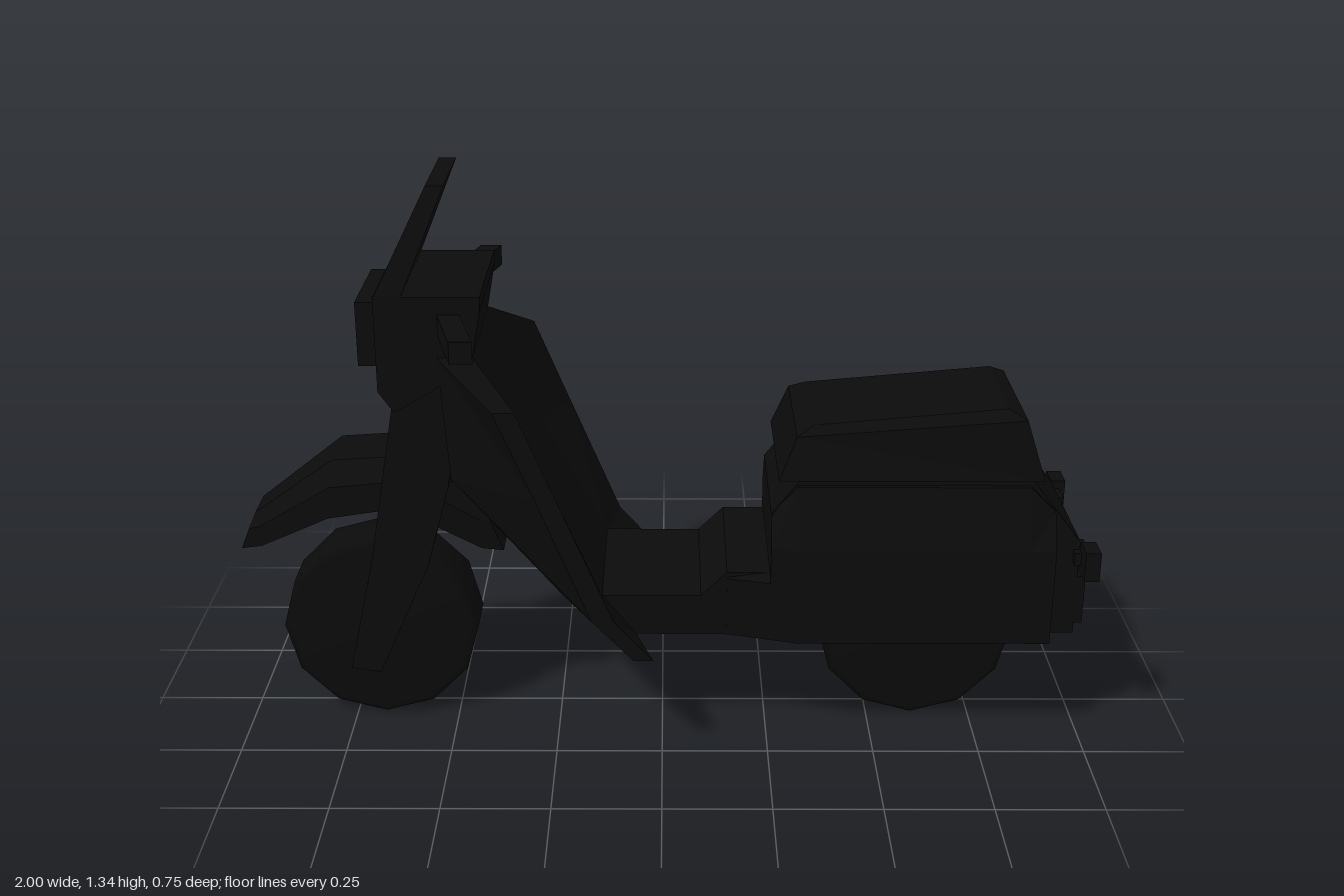
import * as THREE from 'three';

// Solid skinned over convex rings of [x, y, z] points, flat faceted
function loft(rings) {
  const n = rings[0].length, tris = [];
  for (let r = 0; r + 1 < rings.length; r++) {
    for (let i = 0; i < n; i++) {
      const j = (i + 1) % n, a = rings[r], b = rings[r + 1];
      tris.push([a[i], a[j], b[j]], [a[i], b[j], b[i]]);
    }
  }
  const first = rings[0], last = rings[rings.length - 1];
  for (let i = 1; i + 1 < n; i++) {
    tris.push([first[0], first[i + 1], first[i]], [last[0], last[i], last[i + 1]]);
  }
  // turn the faces outward whatever the ring direction
  let volume = 0;
  for (const [a, b, c] of tris) {
    volume += a[0] * (b[1] * c[2] - b[2] * c[1]) + a[1] * (b[2] * c[0] - b[0] * c[2]) + a[2] * (b[0] * c[1] - b[1] * c[0]);
  }
  if (volume < 0) tris.forEach(t => t.reverse());
  const g = new THREE.BufferGeometry();
  g.setAttribute('position', new THREE.Float32BufferAttribute(tris.flat(2), 3));
  g.computeVertexNormals();
  return g;
}

// Side outline extruded from z0 to z1
function prism(outline, z0, z1) {
  const shape = new THREE.Shape(outline.map(p => new THREE.Vector2(...p)));
  const g = new THREE.ExtrudeGeometry(shape, { depth: z1 - z0, bevelEnabled: false });
  return g.translate(0, 0, z0);
}

// Box given by its limits
function box(x0, x1, y0, y1, z0, z1) {
  return new THREE.BoxGeometry(x1 - x0, y1 - y0, z1 - z0)
    .translate((x0 + x1) / 2, (y0 + y1) / 2, (z0 + z1) / 2);
}

// Horizontal rectangle ring
const rect = (x0, x1, y0, y1, w) => [[x0, y0, -w], [x1, y1, -w], [x1, y1, w], [x0, y0, w]];

export function createModel() {
  const group = new THREE.Group();
  const black = new THREE.MeshStandardMaterial({ color: 0x0b0b0b });
  black.name = 'black';
  const add = (name, geometry) => {
    const mesh = new THREE.Mesh(geometry, black);
    mesh.name = name;
    group.add(mesh);
    return mesh;
  };

  // Wheels
  const tyre = [[0, -0.075], [0.215, -0.075], [0.235, -0.058], [0.235, 0.058], [0.215, 0.075], [0, 0.075]];
  for (const [name, x] of [['frontWheel', -0.68], ['rearWheel', 0.61]]) {
    const g = new THREE.LatheGeometry(tyre.map(p => new THREE.Vector2(...p)), 12);
    add(name, g.rotateX(Math.PI / 2).translate(x, 0.24, 0));
  }

  // Front fender: sections of top x, y, bottom x, y, half width
  const fender = [
    [-0.965, 0.535, -1.0, 0.45, 0.07], [-0.955, 0.542, -0.95, 0.46, 0.078],
    [-0.77, 0.68, -0.78, 0.55, 0.12], [-0.61, 0.69, -0.65, 0.57, 0.12],
    [-0.51, 0.645, -0.53, 0.53, 0.12], [-0.43, 0.585, -0.425, 0.465, 0.1], [-0.425, 0.58, -0.375, 0.455, 0.09],
  ];
  add('frontFender', loft(fender.map(([tx, ty, bx, by, w]) => {
    const mx = tx * 0.6 + bx * 0.4, my = ty * 0.6 + by * 0.4;
    return [[bx, by, -w], [mx, my, -w], [tx, ty, -w * 0.65], [tx, ty, w * 0.65], [mx, my, w], [bx, by, w]];
  })));

  // Fork and steering column
  const leg = [[-0.6, 0.9], [-0.45, 0.9], [-0.49, 0.65], [-0.545, 0.45], [-0.67, 0.17], [-0.74, 0.18], [-0.675, 0.47]];
  add('forkLegLeft', prism(leg, 0.09, 0.165));
  add('forkLegRight', prism(leg, -0.165, -0.09));
  add('steeringColumn', prism([[-0.6, 0.9], [-0.45, 0.9], [-0.49, 0.63], [-0.635, 0.63]], -0.09, 0.09));

  // Handlebar housing, headlight, windshield
  add('handlebarHousing', prism(
    [[-0.635, 1.11], [-0.4, 1.11], [-0.4, 1.08], [-0.42, 0.97], [-0.5, 0.9], [-0.6, 0.84], [-0.635, 0.89]], -0.19, 0.19));
  add('headlight', box(-0.685, -0.6, 0.93, 1.08, -0.13, 0.13));
  add('windshield', loft([rect(-0.635, -0.575, 1.105, 1.105, 0.19), rect(-0.515, -0.475, 1.345, 1.345, 0.135)]));

  // Grips, swept back
  for (const s of [1, -1]) {
    const end = (x, z) => [[x, 1.02, z * s], [x + 0.05, 1.02, z * s], [x + 0.05, 1.07, z * s], [x, 1.07, z * s]];
    add(s > 0 ? 'gripFarSide' : 'gripNearSide', loft([end(-0.5, 0.17), end(-0.45, 0.375)]));
  }

  // Leg shield: y inner, y outer, centre front x, centre back x, wing front x, wing back x, outer z
  const shield = [
    [0.97, 0.89, -0.5, -0.42, -0.37, -0.32],
    [0.68, 0.68, -0.48, -0.3, -0.28, -0.233],
    [0.385, 0.385, -0.23, -0.14, -0.16, -0.11],
    [0.285, 0.285, -0.11, -0.06, -0.065, -0.02],
  ];
  add('legShieldCentre', loft(shield.map(([y, , f, b]) => rect(f, b, y, y, 0.19))));
  for (const s of [1, -1]) {
    add('legShieldWing', loft(shield.map(([yi, yo, f, b, wf, wb]) =>
      [[f, yi, 0.19 * s], [wf, yo, 0.322 * s], [wb, yo, 0.322 * s], [b, yi, 0.19 * s]])));
  }

  // Floorboard with the step up to the body
  add('floorboard', prism(
    [[-0.11, 0.285], [0.3, 0.285], [0.3, 0.445], [0.15, 0.445], [0.09, 0.385], [-0.14, 0.385]], -0.188, 0.188));

  // Rear body core and side panels
  add('rearBody', prism(
    [[0.25, 0.285], [0.965, 0.285], [0.965, 0.52], [0.84, 0.68], [0.32, 0.68], [0.25, 0.59]], -0.178, 0.178));
  for (const s of [1, -1]) {
    const panel = (x, z, top) => [[x, 0.285, 0.1 * s], [x, 0.285, z * s], [x, 0.52, z * s], [x, top, (z - 0.045) * s], [x, top, 0.1 * s]];
    add('sidePanel', loft([
      [[0.15, 0.285, 0.1 * s], [0.15, 0.285, 0.19 * s], [0.15, 0.43, 0.19 * s], [0.15, 0.44, 0.18 * s], [0.15, 0.44, 0.1 * s]],
      [[0.25, 0.285, 0.1 * s], [0.25, 0.285, 0.217 * s], [0.25, 0.43, 0.217 * s], [0.25, 0.445, 0.19 * s], [0.25, 0.445, 0.1 * s]],
    ]));
    add('sidePanel', loft([panel(0.25, 0.217, 0.59), panel(0.31, 0.235, 0.66), panel(0.84, 0.235, 0.66), panel(0.9, 0.235, 0.6)]));
  }

  // Seat
  add('seat', loft([
    rect(0.265, 0.87, 0.675, 0.675, 0.19), rect(0.305, 0.825, 0.775, 0.815, 0.17), rect(0.345, 0.785, 0.795, 0.835, 0.145),
  ]));

  // Tail light and turn signals
  add('tailLight', box(0.93, 0.985, 0.31, 0.43, -0.175, 0.175));
  for (const s of [1, -1]) {
    add('turnSignal', box(0.965, 1.0, 0.45, 0.52, Math.min(0.18 * s, 0.245 * s), Math.max(0.18 * s, 0.245 * s)));
    add('signalStalk', box(0.95, 0.985, 0.47, 0.5, Math.min(0.12 * s, 0.2 * s), Math.max(0.12 * s, 0.2 * s)));
  }
  return group;
}
